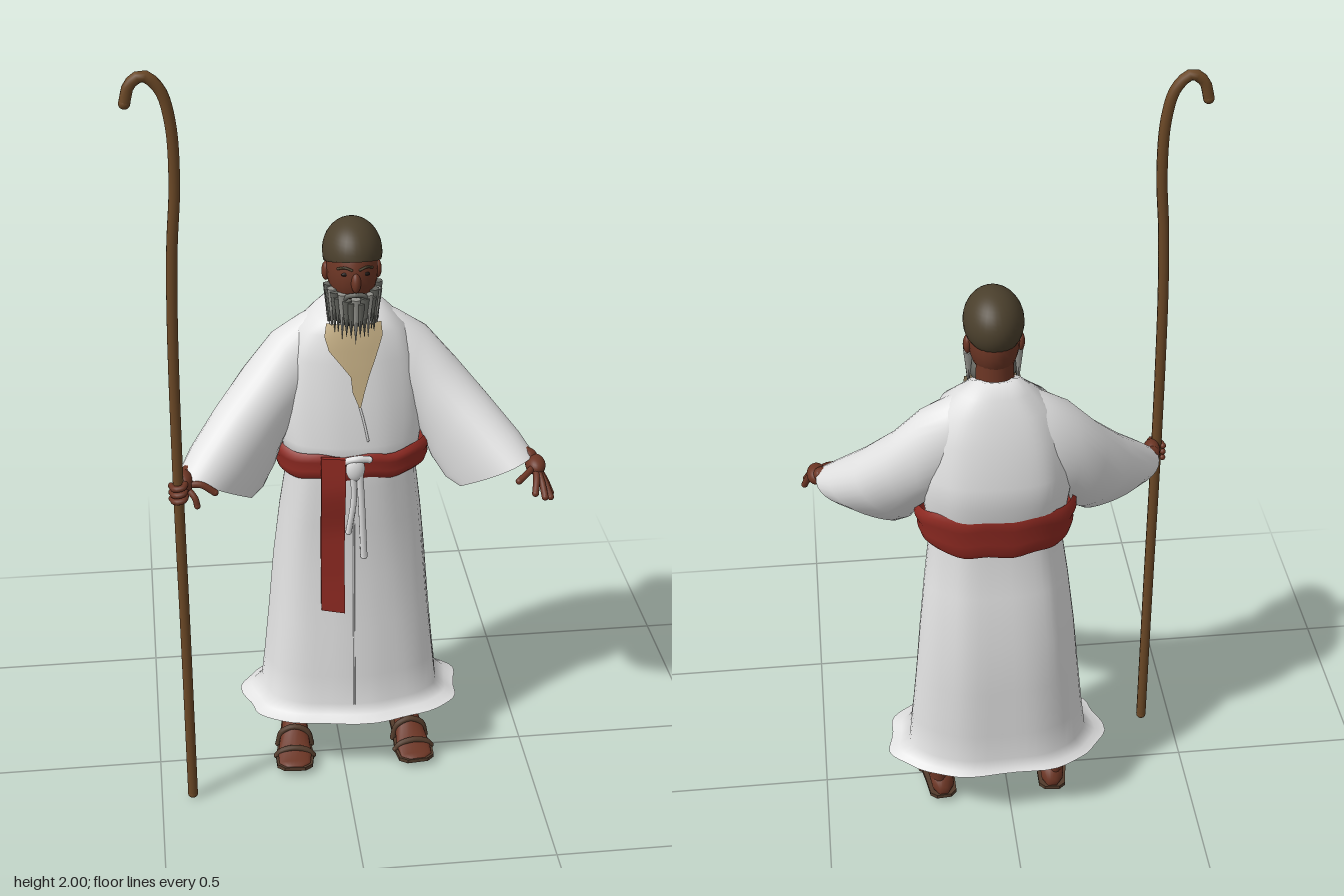
import * as THREE from 'three';

const mat = (name, color, side = THREE.FrontSide) => {
  const m = new THREE.MeshStandardMaterial({ color, side });
  m.name = name;
  return m;
};
const V = (x, y, z) => new THREE.Vector3(x, y, z);

// Joins closed rings of points into a smooth skin, optionally closed at the ends
function loft(rings, cap = false) {
  const n = rings[0].length, pts = rings.flat(), idx = [];
  for (let i = 0; i < rings.length - 1; i++)
    for (let j = 0; j < n; j++) {
      const a = i * n + j, b = i * n + (j + 1) % n;
      idx.push(a, b, b + n, a, b + n, a + n);
    }
  if (cap) [0, rings.length - 1].forEach((r) => {
    const c = rings[r].reduce((s, p) => s.add(p), V(0, 0, 0)).divideScalar(n);
    const k = pts.push(c) - 1;
    for (let j = 0; j < n; j++) {
      const a = r * n + j, b = r * n + (j + 1) % n;
      r ? idx.push(a, b, k) : idx.push(b, a, k);
    }
  });
  const g = new THREE.BufferGeometry().setFromPoints(pts);
  g.setIndex(idx);
  g.computeVertexNormals();
  return g;
}

// Rounded horizontal section: [y, half width, front z, back z]
const POW = 2.4;
const spow = (v) => Math.sign(v) * Math.abs(v) ** (2 / POW);
function section([y, hx, zf, zb], ripple = 0, n = 56) {
  return Array.from({ length: n }, (_, j) => {
    const a = j / n * Math.PI * 2;
    const k = 1 + ripple * (Math.sin(a * 7 + 1) + 0.6 * Math.sin(a * 11 + y * 4));
    return V(hx * k * spow(Math.sin(a)), y, (zf + zb) / 2 + (zf - zb) / 2 * k * spow(Math.cos(a)));
  });
}
function frontZ(rows, y, x) {
  let i = 0;
  while (i < rows.length - 2 && rows[i + 1][0] < y) i++;
  const t = (y - rows[i][0]) / (rows[i + 1][0] - rows[i][0]);
  const [, hx, zf, zb] = rows[i].map((v, k) => THREE.MathUtils.lerp(v, rows[i + 1][k], t));
  return (zf + zb) / 2 + (zf - zb) / 2 * (1 - Math.min(1, Math.abs(x / hx)) ** POW) ** (1 / POW);
}

export function createModel() {
  const robe = mat('robe white', 0xe2e2e2, THREE.DoubleSide);
  const skin = mat('skin', 0x6b3524);
  const hair = mat('hair brown', 0x4a3f2c);
  const beard = mat('beard grey', 0x64655f);
  const beardLight = mat('beard light grey', 0x94948e);
  const red = mat('sash red', 0x8f2a22, THREE.DoubleSide);
  const tan = mat('undershirt tan', 0xc4ae84, THREE.DoubleSide);
  const wood = mat('staff wood', 0x6b4826);
  const leather = mat('sandal leather', 0x523b2b);
  const dark = mat('eye dark', 0x1c1512);

  const model = new THREE.Group();
  const figure = new THREE.Group();
  figure.name = 'figure';
  figure.position.x = 0.03;
  model.add(figure);
  const add = (name, geo, m, parent = figure) => {
    const o = new THREE.Mesh(geo, m);
    o.name = name;
    parent.add(o);
    return o;
  };
  const ball = (name, m, [x, y, z], [a, b, c], parent) => {
    const o = add(name, new THREE.SphereGeometry(1, 24, 16), m, parent);
    o.position.set(x, y, z);
    o.scale.set(a, b, c);
    return o;
  };
  // Round-ended tube through points
  const tube = (name, m, pts, r, parent, seg = 16) => {
    const c = new THREE.CatmullRomCurve3(pts.map((p) => V(...p)));
    add(name, new THREE.TubeGeometry(c, seg, r, 10), m, parent);
    [pts[0], pts[pts.length - 1]].forEach((p) => ball(name + 'End', m, p, [r, r, r], parent));
  };

  // Robe: skirt with flared hem, and torso with a collar lower at the front
  const skirt = [[0.18, 0.292, 0.128, -0.222], [0.19, 0.265, 0.1, -0.21], [0.215, 0.238, 0.085, -0.2],
    [0.3, 0.228, 0.081, -0.2], [0.45, 0.213, 0.071, -0.203], [0.6, 0.2, 0.062, -0.203],
    [0.75, 0.184, 0.062, -0.182], [0.87, 0.168, 0.07, -0.162], [0.94, 0.17, 0.066, -0.17]];
  add('skirt', loft(skirt.map((r, i) => section(r, [0.022, 0.018][i] ?? 0.012))), robe);
  tube('skirtFrontEdge', robe, skirt.slice(2).map((r) => [-0.005, r[0], r[2] + 0.003]), 0.0025);
  const torso = [[0.9, 0.168, 0.068, -0.17], [0.98, 0.18, 0.063, -0.188], [1.04, 0.186, 0.057, -0.204],
    [1.1, 0.183, 0.05, -0.204], [1.2, 0.168, 0.034, -0.184], [1.27, 0.135, 0.02, -0.162],
    [1.315, 0.092, 0.004, -0.14], [1.35, 0.06, -0.006, -0.118]];
  add('torso', loft(torso.map((r, i) => section(r, 0.006).map((p) => {
    p.y -= Math.max(0, i - 5) * 0.24 * Math.max(0, p.z + 0.1);
    return p;
  })), true), robe);

  // Undershirt showing in the open neck: [y, left edge, right edge]
  const vee = [[1.09, 0.008, 0.012], [1.13, -0.008, 0.022], [1.17, -0.012, 0.034], [1.2, -0.035, 0.045],
    [1.235, -0.064, 0.058], [1.27, -0.074, 0.07], [1.3, -0.068, 0.068]];
  const vp = [], vi = [], VN = 8;
  vee.forEach(([y, l, r], i) => {
    for (let j = 0; j <= VN; j++) {
      const x = l + (r - l) * j / VN;
      vp.push(V(x, y, frontZ(torso, y, x) + 0.006));
      if (i && j) {
        const d = i * (VN + 1) + j;
        vi.push(d - VN - 2, d - VN - 1, d, d - VN - 2, d, d - 1);
      }
    }
  });
  const veeGeo = new THREE.BufferGeometry().setFromPoints(vp);
  veeGeo.setIndex(vi);
  veeGeo.computeVertexNormals();
  add('undershirt', veeGeo, tan);
  tube('lapelFold', robe, [[0.01, 1.09], [0.02, 1.05], [0.03, 1.0]].map(([x, y]) => [x, y, frontZ(torso, y, x) + 0.002]), 0.003);

  // Wide sleeves, tapering to a hanging corner: [top point, bottom point, half depth]
  const sleeve = [[[0.06, 1.32, -0.085], [0.08, 1.08, -0.075], 0.058], [[0.12, 1.29, -0.08], [0.12, 1.04, -0.075], 0.078],
    [[0.185, 1.25, -0.064], [0.165, 1.0, -0.07], 0.082], [[0.255, 1.17, -0.038], [0.185, 0.965, -0.048], 0.08],
    [[0.335, 1.085, 0.01], [0.205, 0.91, -0.01], 0.076], [[0.405, 1.01, 0.075], [0.235, 0.868, 0.03], 0.066],
    [[0.44, 0.965, 0.118], [0.265, 0.86, 0.07], 0.054]];
  for (const s of [1, -1]) {
    const ends = sleeve.map(([t, b, w]) => [V(t[0] * s, t[1], t[2]), V(b[0] * s, b[1], b[2]), w]);
    const mid = ends.map(([t, b]) => t.clone().add(b).multiplyScalar(0.5));
    const rings = ends.map(([t, b, w], i) => {
      const dir = mid[Math.min(i + 1, 6)].clone().sub(mid[Math.max(i - 1, 0)]);
      dir.z *= [1, 1, 1, 1, 0.9, 0.65, 0.4][i];
      const up = t.clone().sub(b).multiplyScalar(0.5);
      const out = dir.cross(up).normalize().multiplyScalar(w);
      const taper = Math.max(0, i - 2) * 0.14;
      return Array.from({ length: 32 }, (_, j) => {
        const a = j / 32 * Math.PI * 2;
        return mid[i].clone().addScaledVector(up, Math.cos(a)).addScaledVector(out, Math.sin(a) * (1 + taper * Math.cos(a)));
      });
    });
    add(s > 0 ? 'leftSleeve' : 'rightSleeve', loft(rings), robe);
    tube('forearm', skin, [[0.27 * s, 1.03, -0.02], [0.36 * s, 0.985, 0.06], [0.43 * s, 0.96, 0.115]], 0.02);
  }

  // Red waist wrap, taller at the back
  const wrap = [0, 0.12, 0.35, 0.5, 0.7, 0.88, 1].map((v, i) =>
    section([0, 0.188 + 0.016 * v, 0.074, -0.18 - 0.012 * v]).map((p) => {
      const back = THREE.MathUtils.clamp((0.07 - p.z) / 0.26, 0, 1);
      const k = [0.95, 1, 1.02, 0.995, 1.025, 1.01, 0.95][i];
      return V(p.x * k, THREE.MathUtils.lerp(0.893 - 0.02 * back, 0.962 + 0.045 * back, v)
        + 0.004 * Math.sin(p.x * 50), (p.z + 0.055) * k - 0.055);
    }));
  add('waistSash', loft(wrap), red);
  const hang = new THREE.BoxGeometry(0.06, 0.46, 0.012, 1, 16, 1);
  const hp = hang.attributes.position;
  for (let i = 0; i < hp.count; i++) {
    const x = hp.getX(i) - 0.06, y = hp.getY(i) + 0.735;
    const z = frontZ(skirt, y, x) + 0.006 + 0.016 * THREE.MathUtils.smoothstep(y, 0.72, 0.89);
    hp.setXYZ(i, x, y - (y < 0.51 ? hp.getX(i) * 0.15 : 0), hp.getZ(i) + z);
  }
  hang.computeVertexNormals();
  add('hangingSash', hang, red);

  // White cord tied at the waist
  ball('cordKnot', robe, [-0.005, 0.935, 0.088], [0.024, 0.034, 0.015]);
  tube('cordLoop', robe, [[-0.03, 0.955, 0.083], [0, 0.965, 0.092], [0.03, 0.958, 0.085]], 0.009);
  tube('cordShort', robe, [[-0.012, 0.94, 0.09], [-0.008, 0.85, 0.085], [-0.02, 0.745, 0.074]], 0.008);
  tube('cordLong', robe, [[0.005, 0.94, 0.09], [0.012, 0.82, 0.085], [0.02, 0.67, 0.073]], 0.009);

  // Head and face
  const neck = add('neck', new THREE.CylinderGeometry(0.043, 0.05, 0.17, 24), skin);
  neck.position.set(0, 1.345, -0.062);
  ball('head', skin, [0, 1.43, -0.035], [0.063, 0.098, 0.084]);
  const cap = new THREE.SphereGeometry(1, 32, 24);
  cap.scale(0.073, 0.082, 0.095);
  const cp = cap.attributes.position;
  for (let i = 0; i < cp.count; i++)
    cp.setY(i, Math.max(cp.getY(i), -0.024 + 0.32 * cp.getZ(i)));
  cap.computeVertexNormals();
  add('hair', cap, hair).position.set(0, 1.475, -0.035);
  const nose = ball('nose', skin, [0, 1.423, 0.045], [0.012, 0.026, 0.015]);
  nose.rotation.x = -0.25;
  for (const s of [1, -1]) {
    ball('ear', skin, [0.064 * s, 1.42, -0.045], [0.01, 0.024, 0.016]);
    ball('eye', dark, [0.024 * s, 1.442, 0.038], [0.011, 0.005, 0.004]);
    tube('eyebrow', hair, [[0.01 * s, 1.455, 0.045], [0.026 * s, 1.46, 0.04], [0.042 * s, 1.453, 0.026]], 0.003);
    tube('moustache', beard, [[0.002 * s, 1.391, 0.048], [0.022 * s, 1.385, 0.042], [0.036 * s, 1.36, 0.034]], 0.006);
  }

  // Beard made of hanging tufts around the jaw, rising at the sides
  ball('beardBase', beard, [0, 1.335, -0.01], [0.06, 0.045, 0.058]);
  for (let i = 0; i < 19; i++) {
    const a = (i / 18 - 0.5) * 3.3, h = 0.106 + 0.016 * Math.sin(i * 2.3);
    const tuft = add('beardTuft', new THREE.ConeGeometry(0.013, h, 6), i % 3 ? beard : beardLight);
    tuft.position.set(0.061 * Math.sin(a), 1.318 + 0.022 * Math.abs(Math.sin(a)), -0.022 + 0.066 * Math.cos(a));
    tuft.rotation.x = Math.PI;
  }

  // Legs, feet and sandals
  const footRows = [[-0.12, 0.014, 0.05], [-0.105, 0.03, 0.08], [-0.05, 0.034, 0.1], [0, 0.04, 0.073],
    [0.045, 0.046, 0.046], [0.085, 0.042, 0.036], [0.1, 0.022, 0.031]];
  const oval = (n, f) => Array.from({ length: n }, (_, j) => f(Math.cos(j / n * Math.PI * 2), Math.sin(j / n * Math.PI * 2)));
  for (const s of [1, -1]) {
    const leg = new THREE.Group();
    leg.name = s > 0 ? 'leftLeg' : 'rightLeg';
    leg.position.x = 0.16 * s;
    figure.add(leg);
    const shin = add('shin', new THREE.CylinderGeometry(0.04, 0.025, 0.45, 20), skin, leg);
    shin.position.set(0, 0.29, -0.077);
    shin.scale.z = 1.35;
    const foot = new THREE.Group();
    foot.name = 'foot';
    foot.rotation.y = 0.08 * s;
    leg.add(foot);
    add('footBody', loft(footRows.map(([z, w, top]) =>
      oval(20, (c, n) => V(w * c, (top + 0.02) / 2 + (top - 0.02) / 2 * n, z))), true), skin, foot);
    const edge = footRows.map(([z, w]) => new THREE.Vector2(w + 0.006, -z * 1.03));
    const outline = [...edge, ...edge.map((p) => new THREE.Vector2(-p.x, p.y)).reverse()];
    const sole = add('sole', new THREE.ExtrudeGeometry(new THREE.Shape(outline), { depth: 0.011, bevelEnabled: false }), leather, foot);
    sole.rotation.x = -Math.PI / 2;
    sole.position.y = 0.016;
    for (const [z, w, top] of [[0.045, 0.05, 0.05], [-0.008, 0.046, 0.082]])
      tube('strap', leather, [[-w, 0.025, z], [-w * 0.75, top * 0.8, z], [0, top, z], [w * 0.75, top * 0.8, z], [w, 0.025, z]], 0.008, foot);
  }

  // Left hand, open
  const leftHand = new THREE.Group();
  leftHand.name = 'leftHand';
  model.add(leftHand);
  ball('palm', skin, [0.472, 0.948, 0.137], [0.025, 0.024, 0.036], leftHand);
  for (const [x, y, z] of [[0.42, 0.935, 0.195], [0.458, 0.91, 0.217], [0.482, 0.9, 0.22], [0.5, 0.89, 0.203], [0.505, 0.888, 0.178]])
    tube('finger', skin, [[0.47, 0.95, 0.14], [(0.475 + x) / 2, (0.957 + y) / 2, (0.15 + z) / 2], [x, y, z]], 0.0085, leftHand, 8);

  // Right hand, gripping the staff
  const rightHand = new THREE.Group();
  rightHand.name = 'rightHand';
  model.add(rightHand);
  ball('palm', skin, [-0.403, 0.955, 0.138], [0.022, 0.028, 0.034], rightHand);
  for (let i = 0; i < 3; i++) {
    const y = 0.965 - i * 0.018;
    tube('finger', skin, [[-0.4, y, 0.15], [-0.408, y - 0.004, 0.18], [-0.428, y - 0.008, 0.178], [-0.436, y - 0.01, 0.155]], 0.008, rightHand, 10);
  }
  tube('pointingFinger', skin, [[-0.4, 0.95, 0.15], [-0.365, 0.955, 0.158], [-0.33, 0.933, 0.163]], 0.0085, rightHand);
  tube('thumb', skin, [[-0.4, 0.945, 0.15], [-0.38, 0.925, 0.17], [-0.375, 0.905, 0.175]], 0.008, rightHand);

  // Crook staff
  tube('staff', wood, [[-0.418, 0.013, 0.16], [-0.418, 0.5, 0.16], [-0.419, 1, 0.16], [-0.415, 1.4, 0.16], [-0.408, 1.58, 0.16],
    [-0.396, 1.74, 0.16], [-0.4, 1.88, 0.16], [-0.42, 1.955, 0.16], [-0.455, 1.986, 0.16], [-0.485, 1.968, 0.16],
    [-0.498, 1.925, 0.16]], 0.0135, model, 120);
  return model;
}
